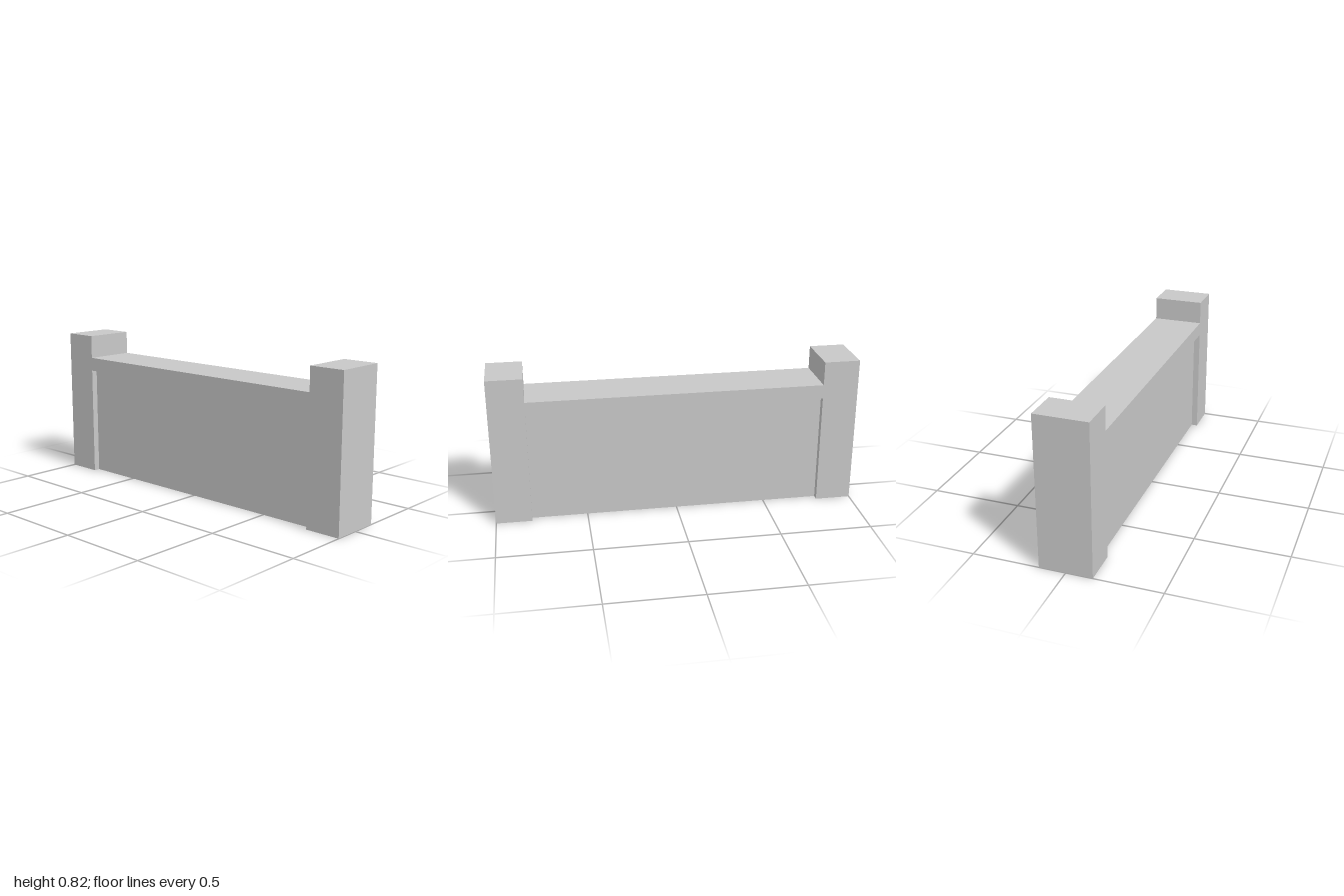
import * as THREE from 'three';

const HEIGHT = 0.825, DEPTH = 0.283;
const INNER = 0.805;          // inner face of each post
const RAIL_BOTTOM = 0.618, RAIL_TOP = 0.695;
const PANEL_DEPTH = 0.214;    // recessed on both sides

export function createModel() {
  const model = new THREE.Group();
  model.name = 'lowWall';
  const stone = new THREE.MeshStandardMaterial({ color: 0xc8c8c8 });
  stone.name = 'light grey stone';

  // Outline of the posts and top rail as one flush, seamless frame
  const outline = [
    [-1, 0], [-INNER, 0], [-INNER, RAIL_BOTTOM], [INNER, RAIL_BOTTOM], [INNER, 0], [1, 0],
    [1, HEIGHT], [INNER, HEIGHT], [INNER, RAIL_TOP], [-INNER, RAIL_TOP], [-INNER, HEIGHT], [-1, HEIGHT],
  ].map(([x, y]) => new THREE.Vector2(x, y));
  const frameGeometry = new THREE.ExtrudeGeometry(new THREE.Shape(outline), { depth: DEPTH, bevelEnabled: false });
  frameGeometry.translate(0, 0, -DEPTH / 2);
  const frame = new THREE.Mesh(frameGeometry, stone);
  frame.name = 'postsAndRail';
  model.add(frame);

  // Recessed panel filling the frame
  const panel = new THREE.Mesh(new THREE.BoxGeometry(2 * INNER, RAIL_BOTTOM, PANEL_DEPTH), stone);
  panel.name = 'panel';
  panel.position.y = RAIL_BOTTOM / 2;
  model.add(panel);

  return model;
}
